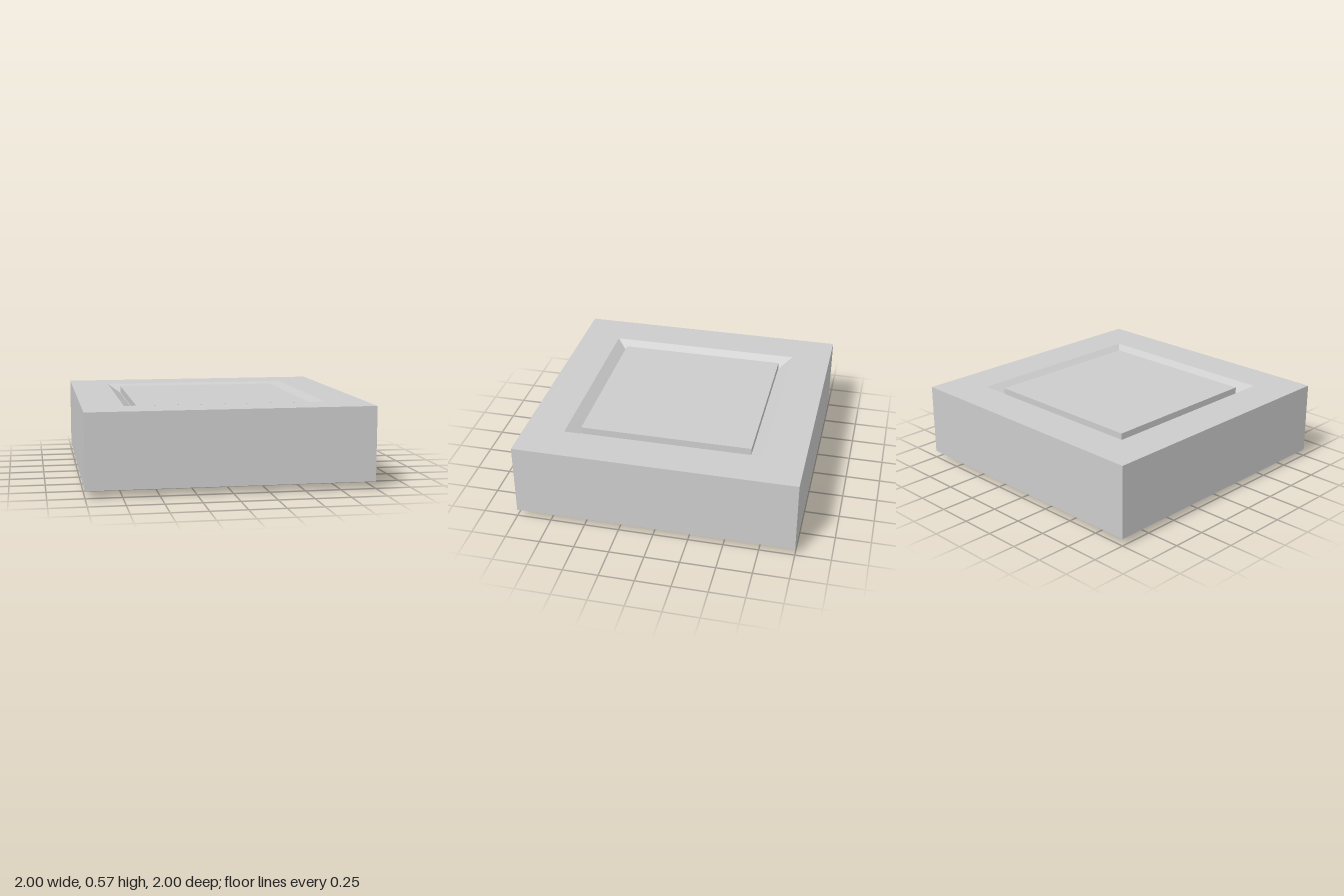
import * as THREE from 'three';

const grey = new THREE.MeshStandardMaterial({ color: 0xcccccc });
grey.name = 'light grey';

// Sweeps a profile of [half width, height] points, bottom to top, around a square
function squarePart(name, profile) {
  const points = profile.map(([half, y]) => new THREE.Vector2(half * Math.SQRT2, y));
  const geometry = new THREE.LatheGeometry(points, 4, Math.PI / 4).toNonIndexed();
  geometry.computeVertexNormals();
  const mesh = new THREE.Mesh(geometry, grey);
  mesh.name = name;
  return mesh;
}

export function createModel() {
  const group = new THREE.Group();
  group.name = 'squareTile';

  // Bevelled foot rim around a shallow dished underside
  group.add(squarePart('foot', [[0, 0.05], [0.51, 0.05], [0.68, 0], [0.75, 0.05]]));

  // Main block, with a sloping groove cut into the top
  group.add(squarePart('block', [
    [0.75, 0.05], [1, 0.05], [1, 0.575], [0.71, 0.575], [0.62, 0.512], [0.615, 0.512],
  ]));

  // Raised panel inside the groove, just below the block's top
  group.add(squarePart('panel', [[0.615, 0.512], [0.615, 0.563], [0, 0.563]]));

  return group;
}
